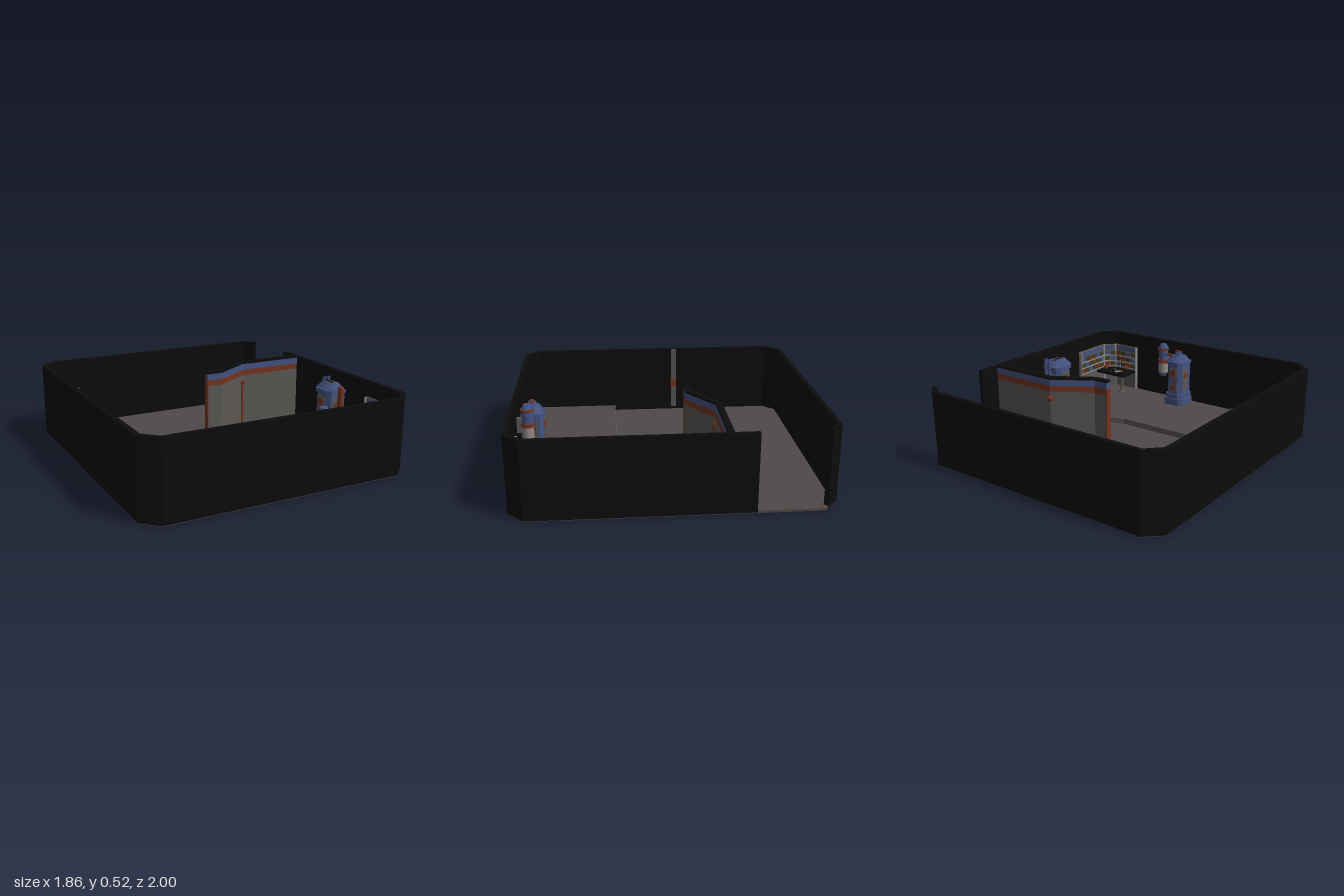
import * as THREE from 'three';

const mat = (name, color, side = THREE.FrontSide) =>
  Object.assign(new THREE.MeshStandardMaterial({ color, side }), { name });

export function createModel() {
  const black = mat('black', 0x0c0c0c), floorGrey = mat('floor grey', 0x4f4a48);
  const panel = mat('panel grey', 0x5a5754), blue = mat('blue', 0x435280);
  const orange = mat('orange', 0x74321f), green = mat('green', 0x3c3f27);
  const pale = mat('pale grey', 0x8c8884);
  const root = new THREE.Group();
  root.name = 'room';

  const add = (parent, name, geo, m, x = 0, y = 0, z = 0) => {
    const mesh = new THREE.Mesh(geo, m);
    mesh.name = name;
    mesh.position.set(x, y, z);
    parent.add(mesh);
    return mesh;
  };
  const box = (p, name, m, w, h, d, x, y, z) => add(p, name, new THREE.BoxGeometry(w, h, d), m, x, y, z);
  const cyl = (p, name, m, r1, r2, h, x, y, z, n = 12) =>
    add(p, name, new THREE.CylinderGeometry(r1, r2, h, n), m, x, y, z);
  // Upright prism from a floor outline of [x, z] points
  const prism = (p, name, m, pts, y0, y1) => {
    const shape = new THREE.Shape(pts.map(([x, z]) => new THREE.Vector2(x, -z)));
    const geo = new THREE.ExtrudeGeometry(shape, { depth: y1 - y0, bevelEnabled: false });
    return add(p, name, geo.rotateX(-Math.PI / 2), m, 0, y0, 0);
  };
  const group = (name, x = 0, y = 0, z = 0) => {
    const g = new THREE.Group();
    g.name = name;
    g.position.set(x, y, z);
    root.add(g);
    return g;
  };

  // Floor slab, raised platform and its edge trim
  prism(root, 'floor', floorGrey, [[-0.928, -0.9], [-0.82, -0.998], [0.82, -0.998], [0.925, -0.9],
    [0.923, 0.9], [0.82, 0.998], [-0.82, 0.998], [-0.928, 0.9]], 0.004, 0.02);
  prism(root, 'platform', floorGrey, [[-0.9, 0.32], [0.25, 0.32], [0.41, 0.26], [0.41, -0.31], [0.9, -0.31],
    [0.9, 0.89], [0.815, 0.975], [-0.815, 0.975], [-0.9, 0.89]], 0.015, 0.06);
  prism(root, 'platformEdge', panel, [[-0.895, 0.316], [0.249, 0.316], [0.406, 0.257], [0.406, -0.3],
    [0.411, -0.3], [0.411, 0.262], [0.251, 0.322], [-0.895, 0.322]], 0.018, 0.0615);

  // Outer wall with a gap on the left side near the back
  prism(root, 'outerWall', black, [[0.925, -0.49], [0.925, 0.9], [0.82, 1], [-0.82, 1], [-0.93, 0.9],
    [-0.93, -0.9], [-0.82, -1], [0.82, -1], [0.9, -0.925],
    [0.875, -0.905], [0.81, -0.97], [-0.81, -0.97], [-0.895, -0.885], [-0.895, 0.885],
    [-0.81, 0.97], [0.81, 0.97], [0.895, 0.885], [0.895, -0.49]], 0.008, 0.52);
  box(root, 'wallStrip', panel, 0.008, 0.48, 0.04, -0.893, 0.28, -0.155);
  box(root, 'wallStripMark', orange, 0.008, 0.06, 0.044, -0.89, 0.24, -0.155);

  // Bent partition in coloured layers
  const bend = [[0.04, -0.135], [0.15, -0.135], [0.41, -0.3], [0.895, -0.3],
    [0.895, -0.34], [0.4, -0.34], [0.14, -0.175], [0.04, -0.175]];
  [['partition', panel, 0.02, 0.425], ['partitionStripe', orange, 0.425, 0.465],
    ['partitionBand', blue, 0.465, 0.51], ['partitionCap', black, 0.51, 0.525]]
    .forEach(([n, m, a, b]) => prism(root, n, m, bend, a, b));
  box(root, 'partitionEnd', orange, 0.006, 0.44, 0.042, 0.039, 0.245, -0.155);
  cyl(root, 'cornerPost', orange, 0.012, 0.012, 0.33, 0.41, 0.215, -0.3);
  for (const [x, z] of [[0.41, -0.3], [0.4, -0.338]])
    add(root, 'cornerKnob', new THREE.SphereGeometry(0.022, 12, 8), orange, x, 0.375, z);

  // Flat fields under the floor, each with a dark border
  const field = (name, m, x0, x1, z0, z1) => {
    const w = x1 - x0, d = z1 - z0, x = (x0 + x1) / 2, z = (z0 + z1) / 2;
    box(root, name + 'Border', black, w, 0.004, d + 0.024, x, 0.003, z);
    box(root, name, m, w, 0.005, d, x, 0.0025, z);
  };
  field('middleField', orange, -0.5, 0.09, -0.34, 0.625);
  field('leftField', green, 0.09, 0.31, -0.34, 0.62);
  field('leftFieldStep', green, 0.31, 0.486, -0.34, 0.41);
  field('rightField', green, -0.7, -0.5, -0.34, 0.615);
  field('rightFieldStep', green, -0.92, -0.7, -0.34, 0.35);
  field('backField', orange, -0.67, 0.07, -0.965, -0.79);
  field('backFieldStep', orange, -0.55, -0.2, -0.79, -0.735);

  // Cabinet machines, built facing -z
  const cabinet = (name, x, z, w, d, turn) => {
    const g = group(name, x, 0.06, z);
    g.rotation.y = turn;
    const foot = (s, c) => [[-w / 2 * s, d / 2], [w / 2 * s, d / 2], [w / 2 * s, -d / 2 * s + c],
      [w / 2 * s - c, -d / 2 * s], [-w / 2 * s + c, -d / 2 * s], [-w / 2 * s, -d / 2 * s + c]];
    prism(g, 'base', blue, foot(1, 0.03), 0, 0.05);
    prism(g, 'plinth', blue, foot(0.88, 0.03), 0.05, 0.085);
    prism(g, 'body', blue, foot(0.74, 0.025), 0.085, 0.32);
    prism(g, 'shoulder', blue, foot(0.86, 0.03), 0.32, 0.345);
    const roof = cyl(g, 'roof', blue, 0.4, 0.7, 0.045, 0, 0.367, 0.01, 4);
    roof.geometry.rotateY(Math.PI / 4);
    roof.scale.set(w * 0.8, 1, d * 0.8);
    const front = -d / 2 * 0.74;
    box(g, 'frontPanel', panel, w * 0.38, 0.19, 0.006, 0, 0.2, front - 0.003);
    box(g, 'screen', orange, w * 0.26, 0.045, 0.006, 0, 0.255, front - 0.006);
    box(g, 'dial', blue, w * 0.26, 0.03, 0.006, 0, 0.2, front - 0.006);
    box(g, 'lowerLight', orange, w * 0.2, 0.03, 0.006, 0, 0.14, front - 0.006);
    for (const s of [-1, 1]) {
      box(g, 'sidePanel', panel, 0.006, 0.18, d * 0.4, s * w * 0.37, 0.2, 0.01);
      box(g, 'sideLight', orange, 0.006, 0.04, d * 0.25, s * w * 0.373, 0.23, 0.01);
    }
    return g;
  };
  const front = cabinet('frontCabinet', 0.135, 0.87, 0.17, 0.165, 0);
  cyl(front, 'topCap', blue, 0.026, 0.032, 0.03, 0, 0.4, 0.01);
  box(front, 'topLight', orange, 0.045, 0.008, 0.025, 0, 0.418, 0.01);
  const side = cabinet('sideCabinet', 0.815, 0.235, 0.21, 0.165, Math.PI / 2);
  box(side, 'topPlate', panel, 0.1, 0.008, 0.035, 0, 0.392, 0.0);
  for (let i = 0; i < 4; i++) box(side, 'topKey', black, 0.012, 0.006, 0.02, -0.036 + i * 0.024, 0.397, 0);
  for (const dz of [0.02, 0.055]) {
    cyl(side, 'sidePipe', blue, 0.014, 0.014, 0.28, 0.088, 0.27, dz);
    cyl(side, 'pipeCap', black, 0.008, 0.014, 0.012, 0.088, 0.416, dz);
  }
  cyl(side, 'redTank', orange, 0.022, 0.022, 0.13, -0.093, 0.29, 0.035);
  add(side, 'redTankTop', new THREE.SphereGeometry(0.022, 12, 8), orange, -0.093, 0.355, 0.035);

  // Wall-hung tank joined to the front cabinet
  const tank = group('wallTank', 0.29, 0, 0.9);
  [['tankFoot', blue, 0.036, 0.026, 0.25, 0.28], ['tankBody', pale, 0.038, 0.038, 0.28, 0.36],
    ['tankBand', orange, 0.044, 0.044, 0.36, 0.385], ['tankUpper', blue, 0.038, 0.038, 0.385, 0.465],
    ['tankRim', orange, 0.045, 0.045, 0.465, 0.48], ['tankTop', blue, 0.024, 0.038, 0.48, 0.51]]
    .forEach(([n, m, a, b, y0, y1]) => cyl(tank, n, m, a, b, y1 - y0, 0, (y0 + y1) / 2, 0, 16));
  box(tank, 'tankBracket', panel, 0.03, 0.1, 0.07, 0, 0.37, 0.045);
  const pipe = new THREE.CatmullRomCurve3([[0, 0.43, 0], [-0.08, 0.43, 0], [-0.125, 0.44, -0.005], [-0.15, 0.46, -0.02]]
    .map(p => new THREE.Vector3(...p)));
  add(tank, 'joiningPipe', new THREE.TubeGeometry(pipe, 16, 0.011, 8), orange);

  // Corner shelving: three upright panels with rows of coloured boxes
  const shelf = (name, x, z, w, turn) => {
    const g = group(name, x, 0.06, z);
    g.rotation.y = turn;
    box(g, 'back', panel, w, 0.355, 0.012, 0, 0.178, 0);
    box(g, 'topBand', blue, w * 0.94, 0.03, 0.008, 0, 0.33, -0.007);
    const n = Math.max(2, Math.round(w / 0.055)), step = w * 0.92 / n;
    for (let row = 0; row < 3; row++) {
      box(g, 'shelfBoard', pale, w, 0.008, 0.026, 0, 0.17 + row * 0.048, -0.012);
      for (let i = 0; i < n; i++)
        box(g, 'shelfBox', [green, orange, green, blue][(i + row * 3) % 4], step * 0.85, 0.032, 0.018,
          (i + 0.5 - n / 2) * step, 0.19 + row * 0.048, -0.01);
    }
    for (const s of [-1, 1]) box(g, 'upright', pale, 0.008, 0.355, 0.026, s * (w / 2 - 0.004), 0.178, -0.01);
  };
  shelf('sideShelf', 0.886, 0.725, 0.31, Math.PI / 2);
  shelf('cornerShelf', 0.845, 0.92, 0.11, Math.PI / 4);
  shelf('frontShelf', 0.7, 0.962, 0.22, 0);

  // Desk with a single leg and small objects
  const desk = group('desk', 0, 0.06, 0);
  prism(desk, 'deskTop', black, [[0.6, 0.78], [0.875, 0.78], [0.875, 0.89], [0.82, 0.945], [0.6, 0.945]], 0.14, 0.16);
  cyl(desk, 'deskLeg', panel, 0.01, 0.014, 0.13, 0.65, 0.075, 0.83);
  cyl(desk, 'deskLegFoot', panel, 0.016, 0.026, 0.014, 0.65, 0.007, 0.83);
  box(desk, 'paper', pale, 0.03, 0.004, 0.05, 0.7, 0.162, 0.84).rotation.y = -0.5;
  box(desk, 'redNote', orange, 0.02, 0.006, 0.02, 0.685, 0.163, 0.87);
  cyl(desk, 'lampStem', pale, 0.005, 0.005, 0.03, 0.71, 0.175, 0.82, 8);
  for (const [x, z] of [[0.75, 0.81], [0.77, 0.88]]) box(desk, 'greenKey', green, 0.012, 0.006, 0.012, x, 0.163, z);
  for (const [x, z] of [[0.68, 0.925], [0.83, 0.85]])
    add(desk, 'redBulb', new THREE.SphereGeometry(0.018, 10, 8), orange, x, 0.176, z);

  return root;
}
